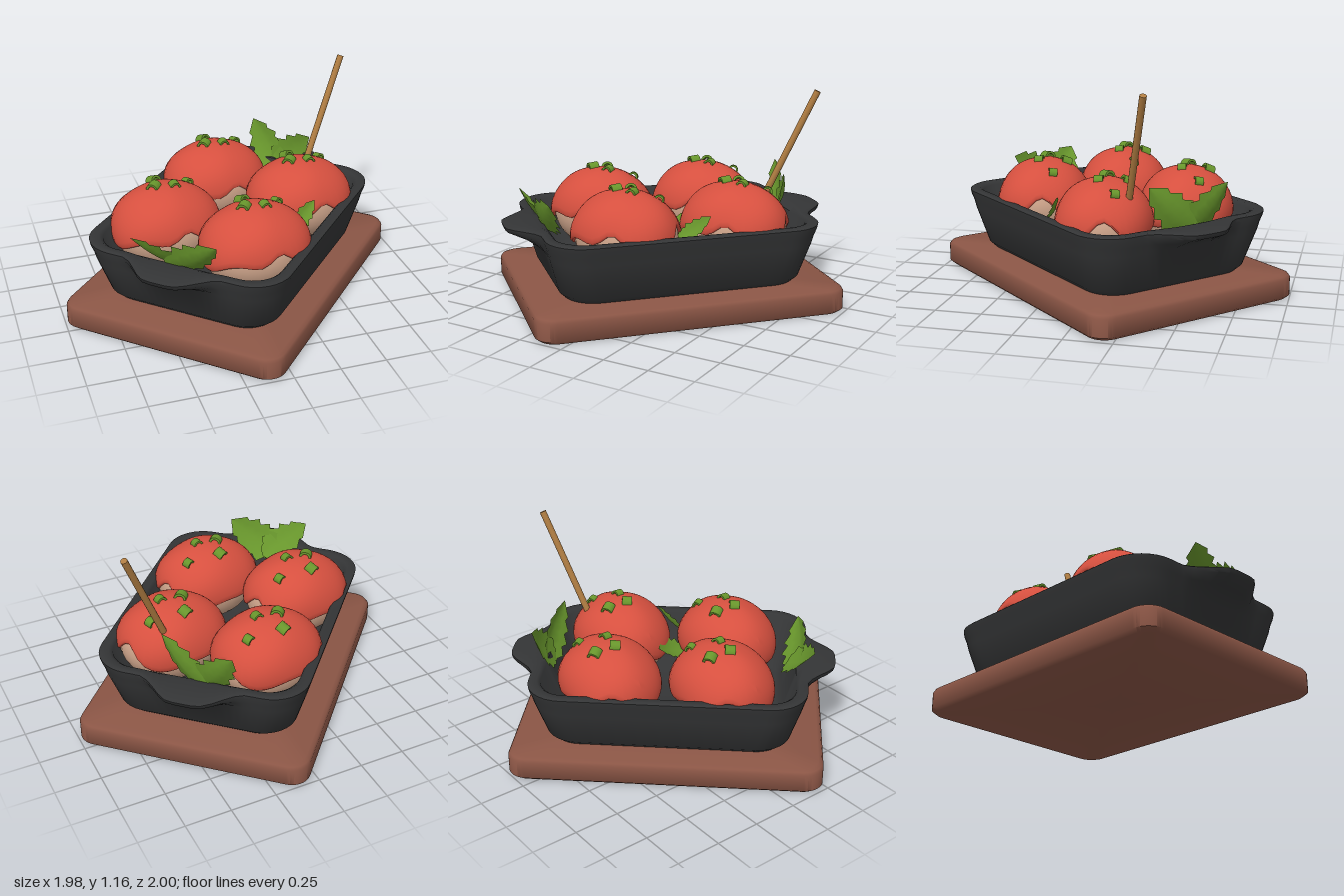
import * as THREE from 'three';
import { toCreasedNormals } from 'three/addons/utils/BufferGeometryUtils.js';

const mat = (color, side = THREE.FrontSide) => new THREE.MeshStandardMaterial({ color, side });
const wood = mat(0x8a5545), iron = mat(0x343536), dough = mat(0xd0a68c), sauce = mat(0xd6503f);
const herb = mat(0x68962c, THREE.DoubleSide), stickWood = mat(0xb07d42);

function add(parent, name, geometry, material) {
  const mesh = new THREE.Mesh(geometry, material);
  mesh.name = name;
  parent.add(mesh);
  return mesh;
}

// Rounded rectangle outline; grip pushes the middle of both short ends outward
function outline({ y, a, b, r, grip = 0 }) {
  const corners = [[1, 1], [-1, 1], [-1, -1], [1, -1]];
  const pts = [];
  const corner = (k, s) => {
    const t = (k + s) * Math.PI / 2, [sx, sz] = corners[k % 4];
    return new THREE.Vector3(sx * (a - r) + r * Math.cos(t), y, sz * (b - r) + r * Math.sin(t));
  };
  for (let k = 0; k < 4; k++) {
    for (let i = 0; i < 8; i++) pts.push(corner(k, i / 8));
    const from = corner(k, 1), to = corner((k + 1) % 4, 0);
    for (let i = 0; i < 16; i++) {
      const p = from.clone().lerp(to, i / 16);
      if (k % 2) p.x += Math.sign(p.x) * grip * (1 - THREE.MathUtils.smoothstep(Math.abs(p.z), 0.06, 0.29));
      pts.push(p);
    }
  }
  return pts;
}

// Skin over a stack of outlines, closed at both ends
function loft(rings, crease) {
  const end = (ring) => ({ y: ring.y, a: 0, b: 0, r: 0 });
  const rows = [end(rings[0]), ...rings, end(rings[rings.length - 1])].map(outline);
  const n = rows[0].length, pos = [], index = [];
  rows.forEach((row) => row.forEach((p) => pos.push(p.x, p.y, p.z)));
  for (let i = 0; i < rows.length - 1; i++) {
    for (let j = 0; j < n; j++) {
      const p = i * n + j, q = i * n + (j + 1) % n;
      if (i < rows.length - 2) index.push(p, p + n, q + n);
      if (i > 0) index.push(p, q + n, q);
    }
  }
  const g = new THREE.BufferGeometry();
  g.setAttribute('position', new THREE.Float32BufferAttribute(pos, 3));
  g.setIndex(index);
  return toCreasedNormals(g, crease);
}

// Sauce cap: upper ellipsoid with a wavy hem that curls in
function sauceGeometry() {
  const g = new THREE.SphereGeometry(1, 44, 18);
  const pos = g.attributes.position, uv = g.attributes.uv;
  const notch = (phi, at, width) => Math.exp(-(((phi - at) / width) ** 2));
  for (let i = 0; i < pos.count; i++) {
    const phi = uv.getX(i) * Math.PI * 2, t = 1 - uv.getY(i);
    const hem = 1.68 + 0.1 * Math.sin(3 * phi + 1) + 0.07 * Math.sin(5 * phi)
      - 0.4 * notch(phi, 1.8, 0.28) - 0.25 * notch(phi, 3.4, 0.3) - 0.25 * notch(phi, 5.6, 0.3);
    const p = Math.min(t / 0.86, 1) * hem;
    const curl = t > 0.86 ? 1 - (t - 0.86) * 0.9 : 1;
    const r = curl * (1 + 0.015 * Math.sin(p) * Math.sin(4 * phi + 3 * p));
    pos.setXYZ(i, -Math.cos(phi) * Math.sin(p) * r * 0.305, Math.cos(p) * r * 0.24, Math.sin(phi) * Math.sin(p) * r * 0.26);
  }
  return toCreasedNormals(g, 1);
}

// Curved slice of a hollow stalk
function sliceGeometry() {
  const s = new THREE.Shape();
  s.absarc(0, 0, 0.034, 0.1, Math.PI - 0.1, false);
  s.absarc(0, 0, 0.021, Math.PI - 0.1, 0.1, true);
  const g = new THREE.ExtrudeGeometry(s, { depth: 0.055, bevelEnabled: false, curveSegments: 8 });
  return g.translate(0, 0, -0.0275);
}

// Serrated leaf, folded on its midrib, from base to tip
function addLeaf(parent, name, base, tip, facing, halfWidth) {
  const from = new THREE.Vector3(...base), along = new THREE.Vector3(...tip).sub(from);
  const len = along.length(), rows = 15;
  const g = new THREE.PlaneGeometry(2, 1, 4, rows);
  const pos = g.attributes.position;
  for (let i = 0; i < pos.count; i++) {
    const s = pos.getX(i), t = pos.getY(i) + 0.5, row = Math.round(t * rows);
    const profile = Math.pow(Math.sin(Math.PI * Math.pow(t, 0.75)), 0.7) || 0;
    const tooth = [1.1, 0.95, 0.8][row % 3];
    const w = t > 0.999 ? 0 : Math.max(0.06, profile * tooth) * halfWidth;
    pos.setXYZ(i, s * w, t * len, Math.abs(s) * w * 0.3 + 0.1 * len * Math.sin(Math.PI * t) * -0.6);
  }
  const yAxis = along.normalize();
  const xAxis = new THREE.Vector3().crossVectors(yAxis, new THREE.Vector3(...facing)).normalize();
  const zAxis = new THREE.Vector3().crossVectors(xAxis, yAxis);
  g.applyMatrix4(new THREE.Matrix4().makeBasis(xAxis, yAxis, zAxis).setPosition(from));
  g.computeVertexNormals();
  add(parent, name, g, herb);
}

export function createModel() {
  const model = new THREE.Group();
  model.name = 'sizzlingDish';

  // Board and pan lie diagonally
  const base = new THREE.Group();
  base.name = 'boardAndPan';
  base.rotation.y = 0.824;
  model.add(base);
  add(base, 'woodenBoard', loft([
    { y: 0, a: 0.815, b: 0.61, r: 0.09 },
    { y: 0.018, a: 0.835, b: 0.63, r: 0.1 },
    { y: 0.112, a: 0.835, b: 0.63, r: 0.1 },
    { y: 0.128, a: 0.827, b: 0.622, r: 0.1 },
    { y: 0.136, a: 0.808, b: 0.603, r: 0.09 },
  ], 0.9), wood);
  add(base, 'castIronPan', loft([
    { y: 0.136, a: 0.63, b: 0.46, r: 0.16 },
    { y: 0.165, a: 0.66, b: 0.49, r: 0.18 },
    { y: 0.36, a: 0.715, b: 0.545, r: 0.19 },
    { y: 0.405, a: 0.728, b: 0.555, r: 0.2, grip: 0.08 },
    { y: 0.44, a: 0.738, b: 0.566, r: 0.2, grip: 0.15 },
    { y: 0.463, a: 0.741, b: 0.57, r: 0.2, grip: 0.155 },
    { y: 0.47, a: 0.733, b: 0.562, r: 0.2, grip: 0.14 },
    { y: 0.47, a: 0.695, b: 0.522, r: 0.17, grip: 0.03 },
    { y: 0.455, a: 0.68, b: 0.507, r: 0.17 },
    { y: 0.22, a: 0.61, b: 0.44, r: 0.14 },
    { y: 0.2, a: 0.58, b: 0.41, r: 0.12 },
  ], 0.9), iron);

  // Four sauced balls with sliced herbs on top
  const cap = sauceGeometry(), slice = sliceGeometry();
  const slices = [[-0.035, -0.11, 0.5, 1], [0.15, -0.09, 0.4, 0.8], [-0.06, 0, -0.65, 1], [0.05, 0.015, 0.1, 0.85]];
  for (const [x, z] of [[0.015, -0.42], [-0.395, 0.02], [0.405, -0.06], [-0.007, 0.385]]) {
    const ball = new THREE.Group();
    ball.name = 'saucedBall';
    ball.position.set(x, 0.43, z);
    model.add(ball);
    add(ball, 'doughBall', new THREE.SphereGeometry(1, 32, 20), dough).scale.set(0.286, 0.225, 0.243);
    add(ball, 'sauceCap', cap, sauce);
    for (const [sx, sz, turn, size] of slices) {
      const y = 0.24 * Math.sqrt(1 - (sx / 0.305) ** 2 - (sz / 0.26) ** 2);
      const m = add(ball, 'herbSlice', slice, herb);
      m.position.set(sx, y - 0.006, sz);
      const up = new THREE.Vector3(sx / 0.093, y / 0.0576, sz / 0.0676).normalize();
      m.quaternion.setFromUnitVectors(new THREE.Vector3(0, 1, 0), up);
      m.rotateY(turn);
      m.scale.setScalar(size);
    }
  }

  // Leaves against both ends of the pan and between the balls
  addLeaf(model, 'backLeaf', [0.44, 0.4, -0.49], [0.345, 0.665, -0.69], [-0.7, 0.4, 0.6], 0.1);
  addLeaf(model, 'backLeaf', [0.42, 0.4, -0.55], [0.57, 0.665, -0.33], [-0.7, 0.4, 0.6], 0.1);
  addLeaf(model, 'frontLeaf', [-0.42, 0.42, 0.47], [-0.68, 0.605, 0.42], [0.55, 0.65, -0.5], 0.1);
  addLeaf(model, 'frontLeaf', [-0.5, 0.42, 0.46], [-0.3, 0.605, 0.66], [0.55, 0.6, -0.55], 0.11);
  addLeaf(model, 'middleLeaf', [0.12, 0.38, 0.17], [0.09, 0.46, -0.03], [-0.5, 0.8, 0], 0.07);
  addLeaf(model, 'middleLeaf', [0.24, 0.4, 0.28], [0.4, 0.54, 0.2], [0.3, 0.7, 0.6], 0.05);

  // Pick stuck in one ball
  const low = new THREE.Vector3(0.45, 0.44, -0.185), high = new THREE.Vector3(0.747, 1.15, -0.335);
  const dir = high.clone().sub(low);
  const stick = add(model, 'pick', new THREE.CylinderGeometry(0.018, 0.018, dir.length(), 12), stickWood);
  stick.position.copy(low).add(high).multiplyScalar(0.5);
  stick.quaternion.setFromUnitVectors(new THREE.Vector3(0, 1, 0), dir.normalize());
  return model;
}
